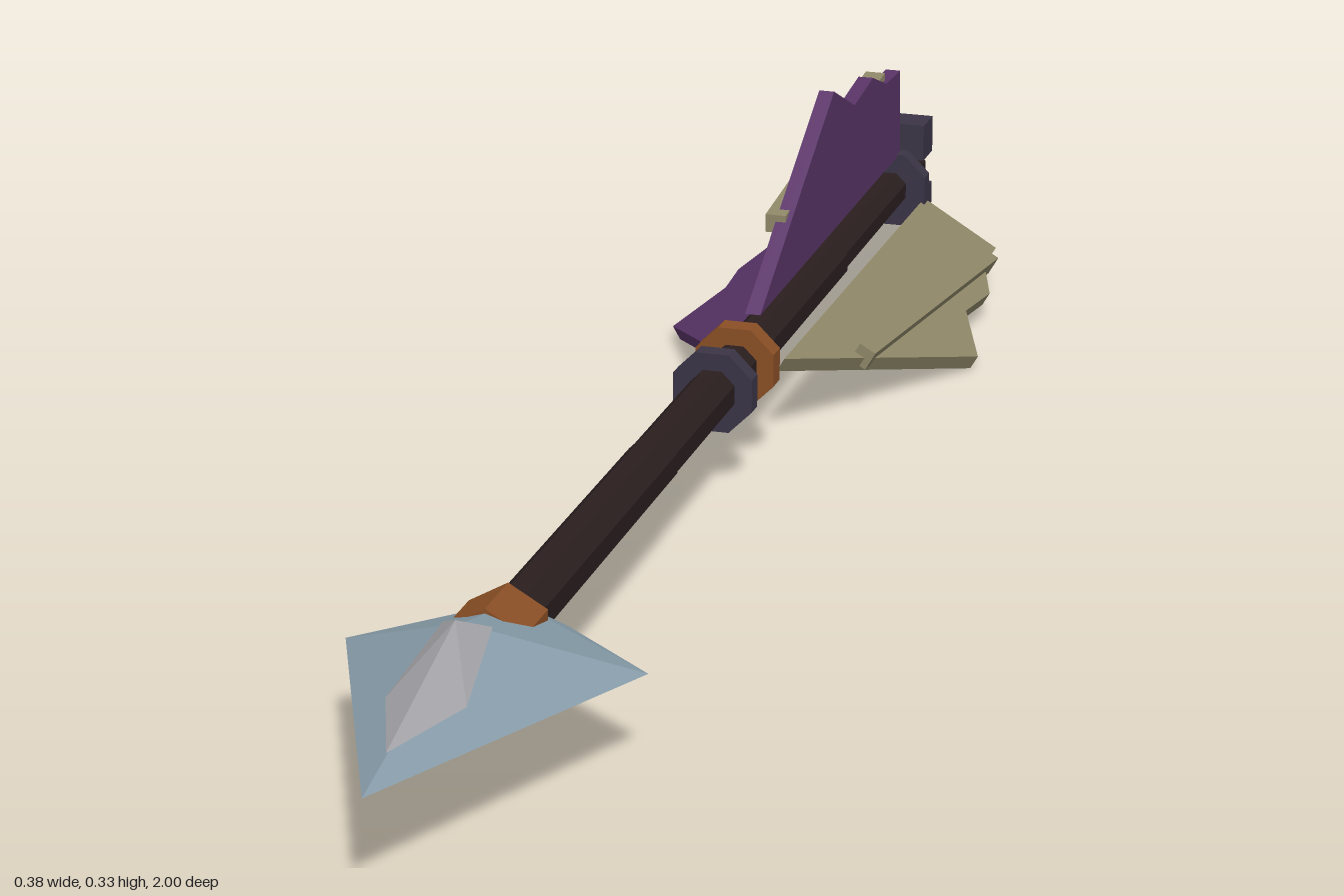
import * as THREE from 'three';
import { ConvexGeometry } from 'three/addons/geometries/ConvexGeometry.js';

const AXIS_Y = 0.115;

function material(name, color) {
  const m = new THREE.MeshStandardMaterial({ color, flatShading: true });
  m.name = name;
  return m;
}

export function createModel() {
  const steel = material('steel', 0x869ca8);
  const paleSteel = material('pale steel', 0xa2a2a6);
  const copper = material('copper', 0x8a4f25);
  const iron = material('dark iron', 0x3a3446);
  const wood = material('dark wood', 0x2a1e1f);
  const purple = material('purple feather', 0x5a3468);
  const tan = material('tan feather', 0x8f8768);

  const arrow = new THREE.Group();
  arrow.name = 'arrow';

  const add = (parent, name, geometry, mat) => {
    const mesh = new THREE.Mesh(geometry, mat);
    mesh.name = name;
    parent.add(mesh);
    return mesh;
  };

  // Prism lying along z between two stations, centred on the shaft axis
  const rod = (name, z0, z1, r0, r1, sides, mat, turn = 0) => {
    const g = new THREE.CylinderGeometry(r1, r0, z1 - z0, sides);
    g.rotateY(turn).rotateX(Math.PI / 2).translate(0, AXIS_Y, (z0 + z1) / 2);
    return add(arrow, name, g, mat);
  };

  // Shaft, slightly stepped towards the tail
  rod('frontShaft', 0.1, 0.62, 0.029, 0.03, 8, wood, Math.PI / 8);
  rod('middleShaft', -0.6, 0.1, 0.027, 0.028, 8, wood, Math.PI / 8);
  rod('rearShaft', -0.99, -0.6, 0.023, 0.024, 8, wood, Math.PI / 8);

  // Collars
  rod('headCollar', 0.58, 0.65, 0.047, 0.047, 6, copper);
  rod('copperRing', -0.233, -0.207, 0.049, 0.049, 8, copper, Math.PI / 8);
  rod('frontIronRing', -0.142, -0.12, 0.049, 0.049, 8, iron, Math.PI / 8);
  rod('rearIronRing', -0.912, -0.89, 0.049, 0.049, 8, iron, Math.PI / 8);

  // Nock: a block above and a block below the shaft end
  for (const side of [1, -1]) {
    const g = new THREE.BoxGeometry(0.054, 0.045, 0.045);
    g.translate(0, AXIS_Y + side * 0.0425, -0.9775);
    add(arrow, side > 0 ? 'upperNock' : 'lowerNock', g, iron);
  }

  // Faceted head with a narrow raised ridge
  const hull = (centre, mirrored) => {
    const points = centre.map((p) => new THREE.Vector3(...p));
    for (const [x, y, z] of mirrored) {
      points.push(new THREE.Vector3(x, y, z), new THREE.Vector3(-x, y, z));
    }
    return new ConvexGeometry(points);
  };
  add(arrow, 'arrowhead', hull(
    [[0, 0.113, 0.995], [0, 0.173, 0.715], [0, 0.063, 0.68], [0, 0.135, 0.56], [0, 0.088, 0.565]],
    [[0.155, 0.101, 0.62], [0.05, 0.108, 0.545]],
  ), steel);
  add(arrow, 'headRidge', hull(
    [[0, 0.184, 0.735], [0, 0.13, 0.93], [0, 0.12, 0.65]],
    [[0.04, 0.135, 0.82], [0.025, 0.166, 0.7]],
  ), paleSteel);

  // Plate cut from a (z, radius) outline, between two x positions
  const plate = (outline, x0, x1) => {
    const shape = new THREE.Shape(outline.map((p) => new THREE.Vector2(...p)));
    const g = new THREE.ExtrudeGeometry(shape, { depth: x1 - x0, bevelEnabled: false });
    return g.translate(0, 0, -x1).rotateY(-Math.PI / 2);
  };
  const vane = [
    [-0.28, 0.038], [-0.59, 0.212], [-0.685, 0.168], [-0.77, 0.178],
    [-0.835, 0.152], [-0.902, 0.15], [-0.908, 0.042],
  ];
  const quill = [[-0.405, 0.095], [-0.405, 0.116], [-0.85, 0.161], [-0.85, 0.137]];

  // Three fins around the shaft, each with a raised quill
  [['topFin', 0, purple], ['leftFin', -1, tan], ['rightFin', 1, purple]].forEach(([name, turn, mat]) => {
    const fin = new THREE.Group();
    fin.name = name;
    fin.position.y = AXIS_Y;
    fin.rotation.z = turn * Math.PI * 2 / 3;
    add(fin, 'vane', plate(vane, -0.009, 0.009), mat);
    add(fin, 'quill', plate(quill, -0.021, 0.003), tan);
    arrow.add(fin);
  });

  return arrow;
}
